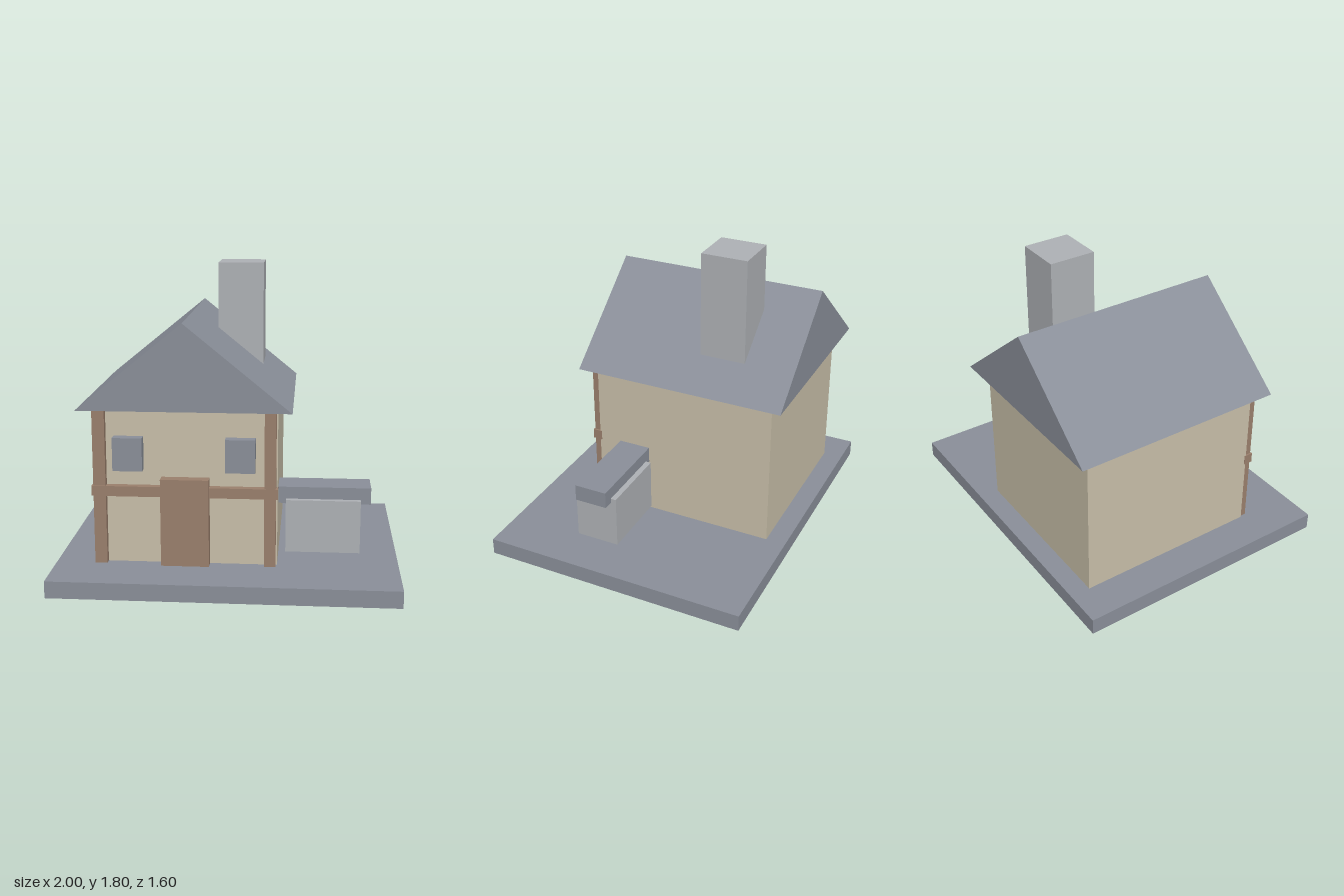
import * as THREE from 'three';

export function createModel() {
  const group = new THREE.Group();
  group.name = 'house';

  const paint = (name, color) => {
    const m = new THREE.MeshStandardMaterial({ color });
    m.name = name;
    return m;
  };
  const slate = paint('slate', 0x8a8f99);
  const plaster = paint('plaster', 0xc8bfa9);
  const wood = paint('wood', 0x9a7f6c);
  const stone = paint('stone', 0xaeb1b5);

  // Box given by its extents on each axis
  function box(name, material, [x0, x1], [y0, y1], [z0, z1]) {
    const mesh = new THREE.Mesh(new THREE.BoxGeometry(x1 - x0, y1 - y0, z1 - z0), material);
    mesh.position.set((x0 + x1) / 2, (y0 + y1) / 2, (z0 + z1) / 2);
    mesh.name = name;
    group.add(mesh);
  }

  // Ground slab and walls
  box('base', slate, [-1, 1], [0, 0.1], [-0.8, 0.8]);
  box('walls', plaster, [-0.78, 0.293], [0.1, 1.02], [-0.68, 0.44]);

  // Gabled roof, a solid triangular prism
  const gable = new THREE.Shape([
    new THREE.Vector2(-0.86, 1.02),
    new THREE.Vector2(0.375, 1.02),
    new THREE.Vector2(-0.243, 1.523),
  ]);
  const roof = new THREE.Mesh(
    new THREE.ExtrudeGeometry(gable, { depth: 1.28, bevelEnabled: false }), slate);
  roof.position.z = -0.76;
  roof.name = 'roof';
  group.add(roof);

  // Chimney sunk into the right slope
  box('chimney', stone, [-0.1, 0.177], [1.1, 1.805], [-0.46, -0.183]);

  // Timber frame and door
  box('leftPost', wood, [0.218, 0.285], [0.1, 1.02], [0.42, 0.48]);
  box('rightPost', wood, [-0.772, -0.7], [0.1, 1.02], [0.42, 0.48]);
  box('crossBeam', wood, [-0.782, 0.296], [0.51, 0.57], [0.43, 0.486]);
  box('door', wood, [-0.38, -0.1], [0.1, 0.62], [0.42, 0.506]);

  // Windows
  box('leftWindow', slate, [-0.006, 0.166], [0.665, 0.86], [0.42, 0.502]);
  box('rightWindow', slate, [-0.654, -0.482], [0.665, 0.86], [0.42, 0.502]);

  // Stone block with a slab top beside the house
  box('sideBlock', stone, [0.338, 0.776], [0.145, 0.462], [0.07, 0.333]);
  box('sideSlab', slate, [0.28, 0.836], [0.435, 0.534], [0.103, 0.3]);

  return group;
}
